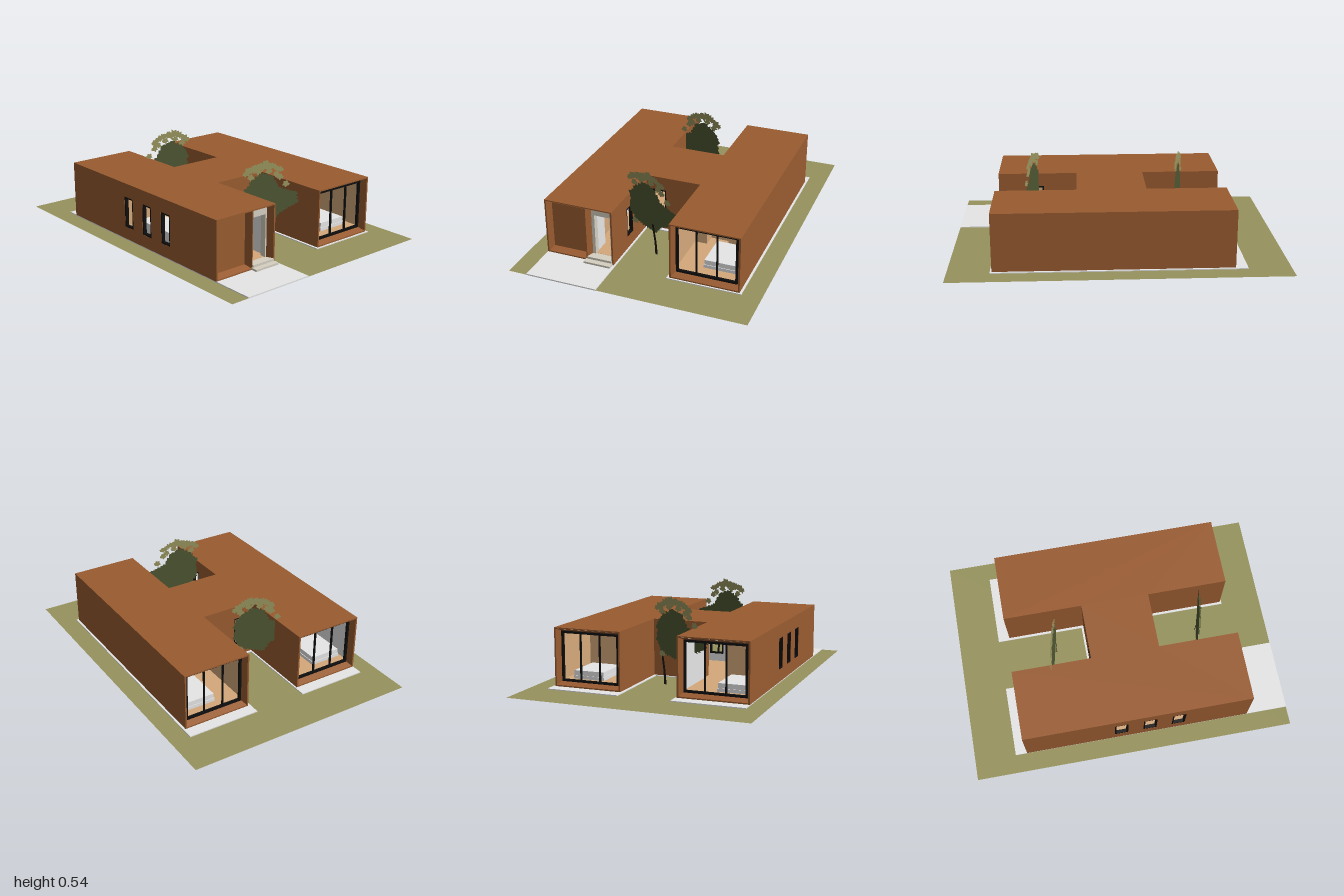
import * as THREE from 'three';

const mat = (name, color, side = THREE.FrontSide) => {
  const m = new THREE.MeshStandardMaterial({ color, side });
  m.name = name;
  return m;
};

export function createModel() {
  const brown = mat('rustClad', 0x9a5c31, THREE.DoubleSide);
  const tan = mat('paleWood', 0xd5a97b);
  const grey = mat('concrete', 0xe6e6e6);
  const stone = mat('stepStone', 0xd6d0c2);
  const black = mat('blackMetal', 0x0e0e0e);
  const grass = mat('grass', 0x96925d, THREE.DoubleSide);
  const leafDark = mat('darkLeaf', 0x4e5733, THREE.DoubleSide);
  const leafLight = mat('lightLeaf', 0x9a9760, THREE.DoubleSide);
  const bark = mat('bark', 0x1c1914, THREE.DoubleSide);

  const root = new THREE.Group();
  root.name = 'courtyardHouse';

  const add = (name, geo, material, parent = root) => {
    const m = new THREE.Mesh(geo, material);
    m.name = name;
    parent.add(m);
    return m;
  };
  // box given by its two extreme corners
  const box = (name, material, x0, x1, y0, y1, z0, z1, parent = root) => {
    const m = add(name, new THREE.BoxGeometry(x1 - x0, y1 - y0, z1 - z0), material, parent);
    m.position.set((x0 + x1) / 2, (y0 + y1) / 2, (z0 + z1) / 2);
    return m;
  };
  const rect = (C, x0, x1, y0, y1) => {
    const p = new C();
    p.moveTo(x0, y0).lineTo(x1, y0).lineTo(x1, y1).lineTo(x0, y1).closePath();
    return p;
  };
  // rectangular bar frame in the xy plane
  const frame = (name, parent, x0, x1, y0, y1, bar, z0, z1) => {
    const s = rect(THREE.Shape, x0, x1, y0, y1);
    s.holes.push(rect(THREE.Path, x0 + bar, x1 - bar, y0 + bar, y1 - bar));
    add(name, new THREE.ExtrudeGeometry(s, { depth: z1 - z0, bevelEnabled: false }), black, parent).position.z = z0;
  };
  // plan outline (x, z) raised into a sheet
  const sheet = (name, plan, y, depth, material) => {
    const s = new THREE.Shape(plan.map(([x, z]) => new THREE.Vector2(x, -z)));
    const m = add(name, new THREE.ExtrudeGeometry(s, { depth, bevelEnabled: false }), material);
    m.rotation.x = -Math.PI / 2;
    m.position.y = y;
  };

  // ground and slabs
  const lawn = add('lawn', new THREE.PlaneGeometry(1.445, 2), grass);
  lawn.rotation.x = -Math.PI / 2;
  lawn.position.y = 0.002;
  box('drivewaySlab', grey, -0.61, -0.17, 0, 0.008, -0.745, 1);
  box('wingSlab', grey, 0.155, 0.605, 0.0025, 0.008, -0.745, 0.75);
  box('bridgeSlab', grey, -0.17, 0.155, 0.0025, 0.008, -0.195, 0.268);
  // wedge of the wing footing that shows below the lawn
  sheet('wingFooting', [[0.155, -0.745], [0.605, -0.745], [0.605, 0.75]], 0, 0.004, grey);

  // roof: H-shaped sheet
  const BACK = -0.673, FRONT = 0.74;
  const H = [[-0.61, BACK], [-0.18, BACK], [-0.18, -0.182], [0.17, -0.182], [0.17, BACK], [0.592, BACK],
    [0.592, FRONT], [0.17, FRONT], [0.17, 0.243], [-0.18, 0.243], [-0.18, FRONT], [-0.61, FRONT]];
  sheet('roof', H, 0.353, 0.007, brown);

  // outer walls, walked so that the interior lies on local +z
  const T = 0.01, TOP = 0.353;
  function wall(name, [ax, az], [bx, bz], lining, windows = []) {
    const g = new THREE.Group();
    g.name = name;
    g.position.set(ax, 0, az);
    g.rotation.y = Math.atan2(az - bz, bx - ax);
    root.add(g);
    const len = Math.hypot(bx - ax, bz - az);
    const layer = (part, u0, u1, v0, v1, depth, z, m) => {
      const s = rect(THREE.Shape, u0, u1, v0, v1);
      windows.forEach(w => s.holes.push(rect(THREE.Path, ...w)));
      add(part, new THREE.ExtrudeGeometry(s, { depth, bevelEnabled: false }), m, g).position.z = z;
    };
    const inset = len > 0.4 ? 0.06 : 0.015;
    layer('cladding', 0, len, 0.008, TOP, T, 0, brown);
    layer('lining', inset, len - inset, 0.035, 0.345, 0.004, T, lining);
    windows.forEach(w => frame('windowFrame', g, ...w, 0.009, 0.001, 0.022));
  }
  const V0 = 0.085, V1 = 0.275;
  const side = z => [FRONT - z - 0.042, FRONT - z + 0.042, V0, V1];
  wall('rightOuterWall', H[11], H[0], grey, [side(-0.07), side(0.11), side(0.29)]);
  wall('rightBackCourtWall', H[1], H[2], grey);
  wall('bridgeBackWall', H[2], H[3], grey, [[0.04, 0.13, V0, V1]]);
  wall('leftBackCourtWall', H[3], H[4], tan);
  wall('leftOuterWall', H[5], H[6], tan);
  wall('leftFrontCourtWall', H[7], H[8], tan);
  wall('bridgeFrontWall', H[8], H[9], grey, [[0.22, 0.31, V0, V1]]);
  wall('rightFrontCourtWall', H[9], H[10], grey, [[0.21, 0.295, V0, V1]]);

  // floors, plinths and ceilings
  [[-0.6, -0.19], [0.18, 0.582]].forEach(([x0, x1]) => {
    box('plinth', brown, x0, x1, 0.008, 0.016, BACK, FRONT);
    box('floor', tan, x0, x1, 0.016, 0.035, -0.625, 0.69);
    box('ceiling', brown, x0, x1, 0.345, 0.352, -0.625, 0.69);
  });
  box('bridgeFloor', tan, -0.19, 0.18, 0.01, 0.035, -0.17, 0.23);

  // splayed surround leading from the facade to a recessed opening
  const IN = 0.017, DEEP = 0.045;
  function reveal(name, x0, x1, y0, y1, z, dir) {
    const ring = (i, zz) => [[x0 + i, y0 + i, zz], [x1 - i, y0 + i, zz], [x1 - i, y1 - i, zz], [x0 + i, y1 - i, zz]];
    const a = ring(0, z), b = ring(IN, z - dir * DEEP), pos = [];
    for (let i = 0; i < 4; i++) {
      const j = (i + 1) % 4;
      const q = [a[i], a[j], b[j], a[i], b[j], b[i]];
      (dir > 0 ? q : q.reverse()).forEach(p => pos.push(...p));
    }
    const geo = new THREE.BufferGeometry();
    geo.setAttribute('position', new THREE.Float32BufferAttribute(pos, 3));
    geo.computeVertexNormals();
    add(name, geo, brown);
  }
  function glazedEnd(name, x0, x1, z, dir) {
    reveal(name + 'Reveal', x0, x1, 0.016, 0.352, z, dir);
    const g = new THREE.Group();
    g.name = name;
    g.position.z = z - dir * DEEP;
    root.add(g);
    const a = x0 + IN, b = x1 - IN;
    frame('glazingFrame', g, a, b, 0.033, 0.335, 0.013, -0.008, 0.008);
    [1, 2].forEach(i => {
      const x = a + (b - a) * i / 3;
      box('mullion', black, x - 0.004, x + 0.004, 0.04, 0.33, -0.006, 0.006, g);
    });
  }
  glazedEnd('frontGlazing', 0.179, 0.583, FRONT, 1);
  glazedEnd('leftBackGlazing', 0.179, 0.583, BACK, -1);
  glazedEnd('rightBackGlazing', -0.601, -0.189, BACK, -1);

  // entrance front: blank panel bay and doorway bay
  reveal('panelReveal', -0.601, -0.353, 0.016, 0.352, FRONT, 1);
  box('frontPanel', brown, -0.59, -0.362, 0.028, 0.34, 0.685, 0.697);
  reveal('doorReveal', -0.347, -0.189, 0.016, 0.352, FRONT, 1);
  box('bayDivider', brown, -0.353, -0.347, 0.008, 0.353, 0.69, FRONT);
  box('doorHead', stone, -0.335, -0.205, 0.293, 0.34, 0.66, 0.697);
  box('doorJamb', stone, -0.335, -0.312, 0.03, 0.293, 0.66, 0.697);
  box('doorJamb', stone, -0.214, -0.2, 0.03, 0.293, 0.66, 0.697);
  box('openDoor', grey, -0.32, -0.312, 0.036, 0.29, 0.57, 0.66);
  box('lowerStep', stone, -0.355, -0.185, 0.008, 0.02, 0.72, 0.78);
  box('upperStep', stone, -0.345, -0.19, 0.016, 0.034, 0.69, 0.745);

  // interior partitions and furniture
  box('hallPartition', tan, -0.37, -0.355, 0.035, 0.345, 0.38, 0.68);
  box('bedroomPartition', tan, -0.6, -0.33, 0.035, 0.345, -0.25, -0.235);
  box('frontRoomPartition', tan, 0.18, 0.58, 0.035, 0.345, 0.27, 0.285);
  box('backRoomPartition', tan, 0.18, 0.58, 0.035, 0.345, -0.25, -0.235);
  box('kitchenIsland', grey, -0.5, -0.34, 0.035, 0.1, -0.12, 0.3);
  [[0.035, 0.12], [0.122, 0.228], [0.23, 0.335]].forEach(([y0, y1]) =>
    box('wardrobe', tan, 0.186, 0.26, y0, y1, 0.285, 0.36));
  box('headboard', tan, 0.38, 0.575, 0.035, 0.135, 0.285, 0.31);
  box('wallShelf', tan, 0.38, 0.575, 0.14, 0.228, 0.285, 0.3);
  const bed = (x0, x1, z0, z1) => {
    box('bedBase', grey, x0, x1, 0.035, 0.055, z0, z1);
    box('mattress', grey, x0 + 0.004, x1 - 0.004, 0.055, 0.085, z0 + 0.004, z1 - 0.004);
  };
  bed(0.33, 0.53, 0.38, 0.61);
  bed(0.33, 0.53, -0.56, -0.32);
  bed(-0.58, -0.38, -0.56, -0.32);

  // flat cut-out trees with a ragged leaf edge
  let seed = 7;
  const rnd = () => (seed = (seed * 16807) % 2147483647) / 2147483647;
  function tree(name, x, z, turn, trunkX) {
    const g = new THREE.Group();
    g.name = name;
    g.position.set(x, 0.004, z);
    g.rotation.y = -0.245 + turn;
    root.add(g);
    const flat = (part, pts, m, dz) => {
      const mesh = add(part, new THREE.ShapeGeometry(new THREE.Shape(pts)), m, g);
      mesh.position.z = dz;
      return mesh;
    };
    const v = (a, b) => new THREE.Vector2(a, b);
    flat('trunk', [v(-0.004, 0), v(0.014, 0), v(0.007, 0.08), v(-0.012, 0.2), v(-0.026, 0.2), v(-0.008, 0.08)],
      bark, 0.002).position.x = trunkX;
    const outline = [[-0.19, 0.36], [-0.15, 0.415], [-0.085, 0.46], [-0.005, 0.435], [0.035, 0.36], [0.09, 0.335], [0.165, 0.31],
      [0.17, 0.245], [0.11, 0.22], [0.05, 0.2], [0, 0.145], [-0.05, 0.16], [-0.1, 0.175], [-0.15, 0.2], [-0.185, 0.25]];
    const ragged = [];
    outline.forEach(([px, py], i) => {
      const [qx, qy] = outline[(i + 1) % outline.length];
      for (let k = 0; k < 6; k++) {
        const t = k / 6, s = 1 + (k % 2 ? 0.08 : -0.07) * rnd();
        ragged.push(v((px + (qx - px) * t + 0.03) * s - 0.03, (py + (qy - py) * t - 0.3) * s + 0.3));
      }
    });
    flat('foliage', ragged, leafDark, 0);
    // light sprigs along the crown and the side, on both faces
    const sprig = (cx, cy, r) => {
      const pts = [];
      for (let i = 0; i < 11; i++) {
        const a = i / 11 * Math.PI * 2, q = r * (i % 2 ? 0.65 : 0.9 + 0.25 * rnd());
        pts.push(v(cx + q * Math.cos(a), cy + q * Math.sin(a)));
      }
      [-0.003, 0.003].forEach(dz => flat('sprig', pts, leafLight, dz));
    };
    for (let i = 0; i < 13; i++) {
      const t = i / 12;
      sprig(-0.185 + 0.23 * t, 0.455 + 0.04 * Math.sin(Math.PI * t) + 0.015 * rnd(), 0.016 + 0.012 * rnd());
    }
    [[-0.15, 0.44], [-0.1, 0.47], [-0.03, 0.465], [0.02, 0.44], [0.045, 0.42], [0.085, 0.372], [-0.15, 0.185]]
      .forEach(([a, b]) => sprig(a, b, 0.022));
  }
  tree('frontTree', 0, 0.53, 0, 0);
  tree('backTree', -0.11, -0.41, Math.PI, -0.13);

  return root;
}
